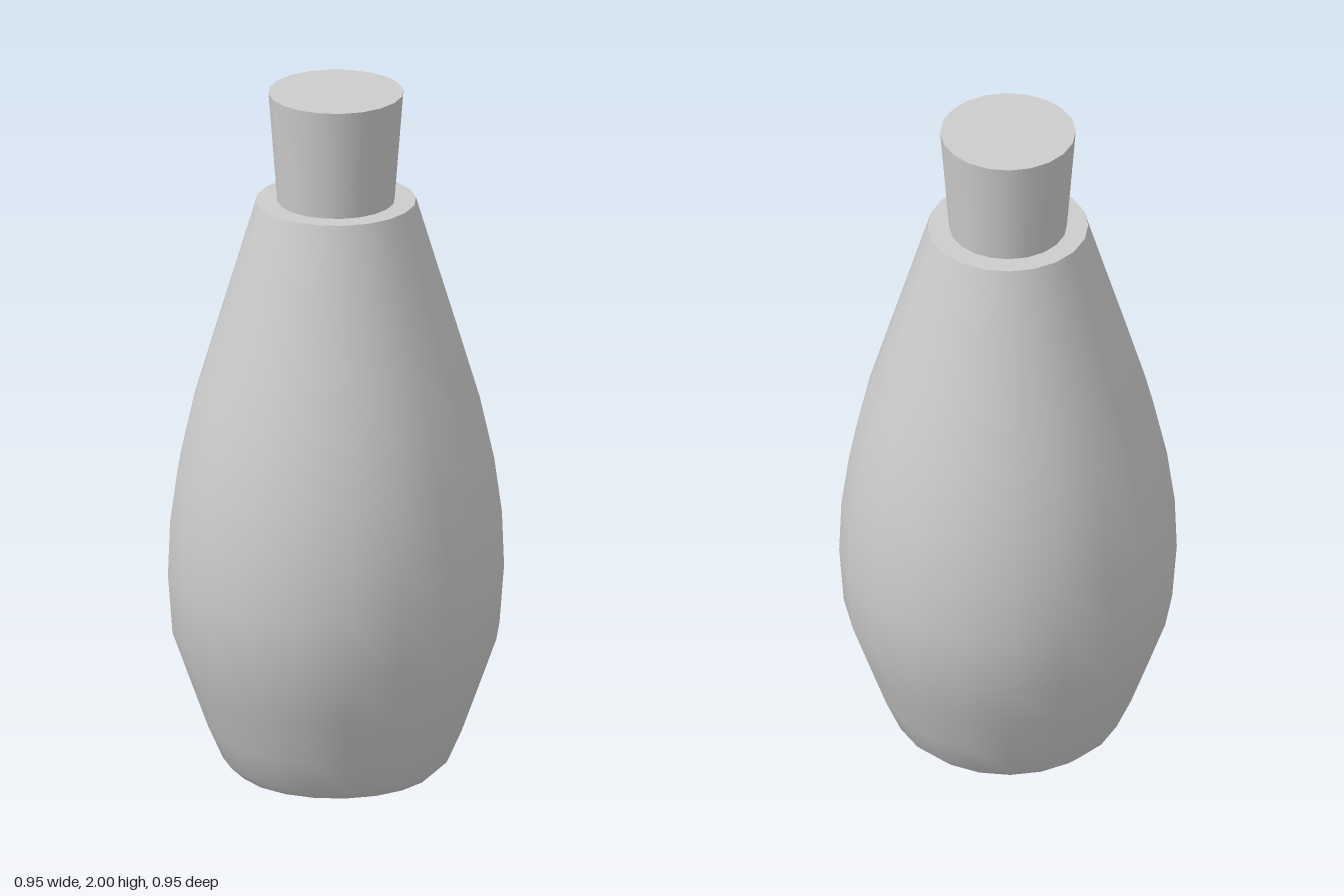
import * as THREE from 'three';

const SIDES = 20;

export function createModel() {
  const group = new THREE.Group();
  const material = new THREE.MeshStandardMaterial({ color: 0xcccccc });
  const add = (name, geometry, y = 0) => {
    const mesh = new THREE.Mesh(geometry, material);
    mesh.name = name;
    mesh.position.y = y;
    group.add(mesh);
  };

  // Smooth bottle wall, turned from base to shoulder
  const profile = [
    [0.28, 0], [0.318, 0.035], [0.36, 0.13], [0.405, 0.255], [0.46, 0.41],
    [0.473, 0.58], [0.467, 0.74], [0.445, 0.9], [0.405, 1.08],
    [0.35, 1.265], [0.285, 1.48], [0.225, 1.68],
  ].map(([r, y]) => new THREE.Vector2(r, y));
  add('bottleBody', new THREE.LatheGeometry(profile, SIDES));

  // Flat base and flat rim, separate so their edges stay sharp
  add('bottleBase', new THREE.CircleGeometry(0.28, SIDES).rotateX(Math.PI / 2));
  add('bottleRim', new THREE.CircleGeometry(0.225, SIDES).rotateX(-Math.PI / 2), 1.68);

  // Tapered stopper, wider at the top and pushed slightly into the neck
  add('stopper', new THREE.CylinderGeometry(0.19, 0.162, 0.36, SIDES), 1.82);

  return group;
}
